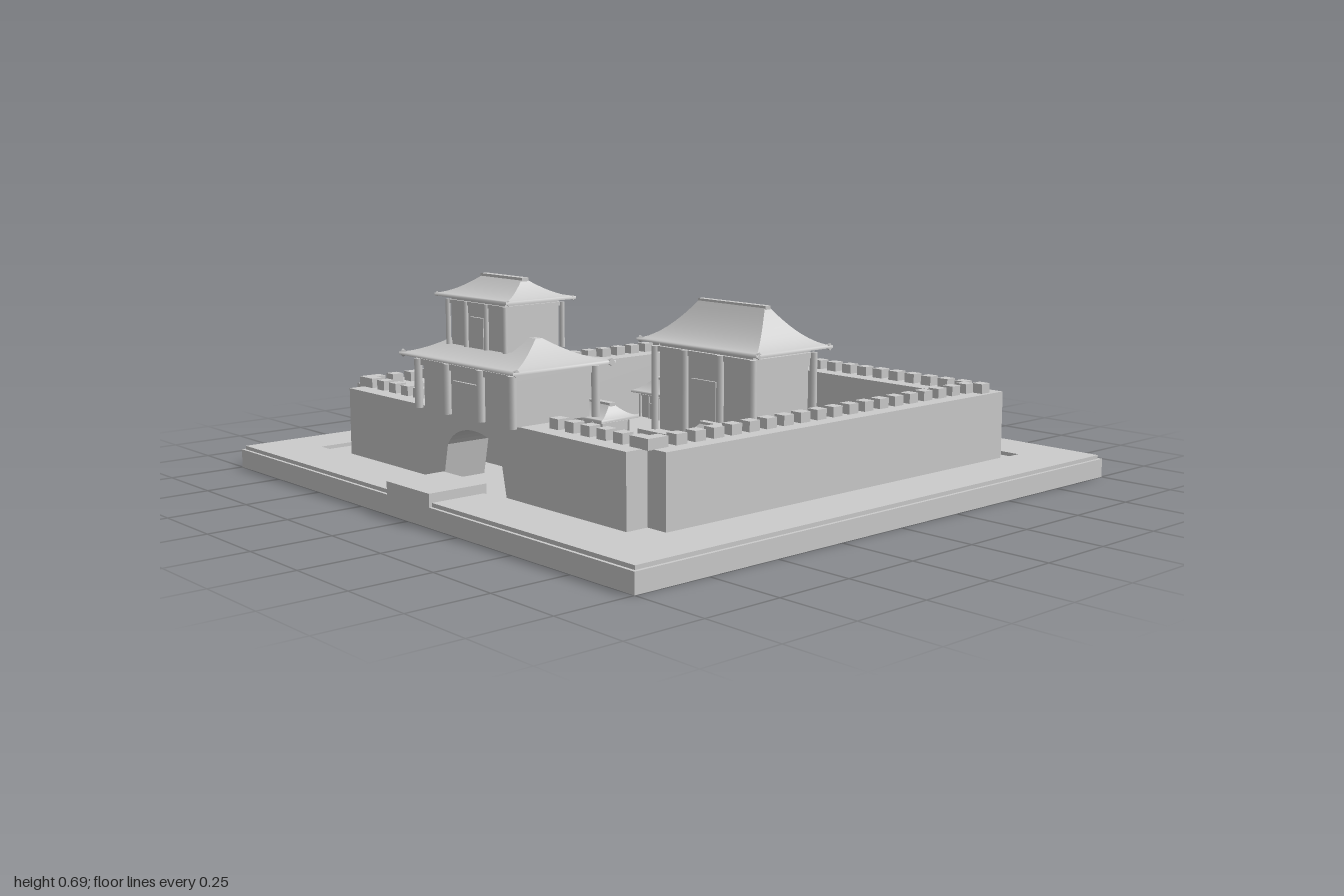
import * as THREE from 'three';

export function createModel() {
  const model = new THREE.Group();
  model.name = 'walledCourt';
  const stone = new THREE.MeshStandardMaterial({ color: 0xcccccc });
  stone.name = 'pale stone';

  function add(parent, name, geometry, x = 0, y = 0, z = 0) {
    const mesh = new THREE.Mesh(geometry, stone);
    mesh.name = name;
    mesh.position.set(x, y, z);
    parent.add(mesh);
    return mesh;
  }
  // Box given by its limits on each axis
  function block(parent, name, x0, x1, y0, y1, z0, z1) {
    return add(parent, name, new THREE.BoxGeometry(x1 - x0, y1 - y0, z1 - z0),
      (x0 + x1) / 2, (y0 + y1) / 2, (z0 + z1) / 2);
  }

  // Hipped roof with a concave slope, built as four curved sides over a flat soffit
  function roofGeometry(hw, hd, rise, ridge, ridgeDepth) {
    const steps = 10, positions = [], index = [];
    const rings = [[hw, 0, hd]];
    for (let i = 0; i <= steps; i++) {
      const t = i / steps;
      rings.push([hw + (ridge - hw) * t, 0.008 + (rise - 0.008) * Math.pow(t, 1.7), hd + (ridgeDepth - hd) * t]);
    }
    const corners = [[-1, 1], [1, 1], [1, -1], [-1, -1]];
    for (let s = 0; s < 4; s++) {
      const a = corners[s], b = corners[(s + 1) % 4];
      const start = positions.length / 3;
      for (const [x, y, z] of rings) positions.push(a[0] * x, y, a[1] * z, b[0] * x, y, b[1] * z);
      for (let i = 0; i < rings.length - 1; i++) {
        const k = start + i * 2;
        index.push(k, k + 1, k + 3, k, k + 3, k + 2);
      }
    }
    for (const [x, y, z] of [rings[0], rings[rings.length - 1]]) {
      const k = positions.length / 3;
      for (const c of corners) positions.push(c[0] * x, y, c[1] * z);
      if (y === 0) index.push(k, k + 2, k + 1, k, k + 3, k + 2);
      else index.push(k, k + 1, k + 2, k, k + 2, k + 3);
    }
    const g = new THREE.BufferGeometry();
    g.setAttribute('position', new THREE.Float32BufferAttribute(positions, 3));
    g.setIndex(index);
    g.computeVertexNormals();
    return g;
  }

  // Timber building: core, columns, beam, door, roof, ridge and flared corner tips
  function building(name, o) {
    const g = new THREE.Group();
    g.name = name;
    g.position.set(o.x, 0, o.z);
    model.add(g);
    const { hw, hd, base, top, eave, peak, roofW, roofD, ridge } = o;
    const r = hw * 0.05;
    block(g, 'walls', -hw + r * 2, hw - r * 2, base, eave + 0.005, -hd + r * 2, hd - r * 2);
    block(g, 'beam', -hw + r, hw - r, top - r * 1.5, top, -hd + r, hd - r);
    const column = new THREE.CylinderGeometry(r, r, top - base, 8);
    for (const s of [-1, 1]) {
      for (const f of [-1, -0.36, 0.36, 1])
        add(g, 'column', column, f * (hw - r), (base + top) / 2, s * (hd - r));
    }
    const doorTop = base + (top - base) * 0.68;
    block(g, 'door', -hw * 0.24, hw * 0.24, base, doorTop, hd - r * 2, hd - r * 2 + 0.008);
    add(g, 'roof', roofGeometry(roofW, roofD, peak - 0.008 - eave, ridge, 0.012), 0, eave, 0);
    if (o.ridgeCap !== false)
      block(g, 'ridgeCap', -ridge - 0.003, ridge + 0.003, peak - 0.022, peak, -0.012, 0.012);
    // Tips widen outwards along the eaves
    const tip = new THREE.ConeGeometry(roofW * 0.045, roofW * 0.13, 4);
    for (const sx of [-1, 1]) for (const sz of [-1, 1]) {
      const m = add(g, 'eaveTip', tip, sx * (roofW - roofW * 0.065), eave + 0.004, sz * (roofD - roofW * 0.05));
      m.rotation.z = sx * Math.PI / 2;
    }
    return g;
  }

  // Ground slab with a raised border around the shallow moat
  block(model, 'base', -1, 1, 0, 0.06, -1, 1);
  const border = new THREE.Shape();
  border.moveTo(-0.99, -0.99).lineTo(0.99, -0.99).lineTo(0.99, 0.99).lineTo(-0.99, 0.99).closePath();
  const moat = new THREE.Path();
  moat.moveTo(-0.81, -0.81).lineTo(-0.81, 0.81).lineTo(0.81, 0.81).lineTo(0.81, -0.81).closePath();
  border.holes.push(moat);
  const ground = add(model, 'ground', new THREE.ExtrudeGeometry(border, { depth: 0.012, bevelEnabled: false }), 0, 0.06, 0);
  ground.rotation.x = -Math.PI / 2;
  block(model, 'bridge', -0.11, 0.11, 0.06, 0.1, 0.8, 1);

  // Side and back ramparts
  for (const s of [-1, 1]) block(model, 'sideRampart', s * 0.695 - 0.075, s * 0.695 + 0.075, 0.06, 0.278, -0.77, 0.69);
  block(model, 'backRampart', -0.62, 0.62, 0.06, 0.278, -0.77, -0.625);

  // Front rampart with an arched passage
  const front = new THREE.Shape();
  front.moveTo(-0.695, 0.06).lineTo(-0.16, 0.06).lineTo(-0.135, 0.175);
  front.bezierCurveTo(-0.11, 0.215, -0.06, 0.235, 0, 0.235);
  front.bezierCurveTo(0.06, 0.235, 0.11, 0.215, 0.135, 0.175);
  front.lineTo(0.16, 0.06).lineTo(0.695, 0.06).lineTo(0.695, 0.278).lineTo(-0.695, 0.278).closePath();
  add(model, 'frontRampart', new THREE.ExtrudeGeometry(front, { depth: 0.15, bevelEnabled: false, curveSegments: 8 }), 0, 0, 0.615);

  // Battlements
  const merlon = new THREE.BoxGeometry(0.04, 0.032, 0.04);
  for (let i = 0; i < 22; i++) {
    const x = -0.735 + i * 0.07;
    add(model, 'merlon', merlon, x, 0.293, -0.7);
    if (Math.abs(x) > 0.25 && Math.abs(x) < 0.7) add(model, 'merlon', merlon, x, 0.293, 0.69);
  }
  for (let i = 0; i < 20; i++)
    for (const s of [-1, 1]) add(model, 'merlon', merlon, s * 0.7, 0.293, -0.663 + i * 0.0695);
  for (const s of [-1, 1]) add(model, 'merlon', merlon, s * 0.7, 0.293, 0.69);

  // Two-storey gate tower
  building('gateTowerLower', { x: 0, z: 0.645, hw: 0.25, hd: 0.165, base: 0.278, top: 0.43, eave: 0.44, peak: 0.525,
    roofW: 0.29, roofD: 0.187, ridge: 0.165, ridgeCap: false });
  building('gateTowerUpper', { x: 0, z: 0.645, hw: 0.15, hd: 0.112, base: 0.48, top: 0.615, eave: 0.625, peak: 0.69,
    roofW: 0.18, roofD: 0.127, ridge: 0.1 });

  // Main hall on its terrace
  block(model, 'terrace', -0.28, 0.28, 0.06, 0.09, -0.48, -0.12);
  building('mainHall', { x: 0, z: -0.305, hw: 0.25, hd: 0.155, base: 0.09, top: 0.38, eave: 0.397, peak: 0.54,
    roofW: 0.29, roofD: 0.18, ridge: 0.16 });

  // Small pavilions
  for (const [x, z] of [[-0.495, -0.443], [-0.28, 0.043], [0.275, 0.043], [-0.275, 0.36], [0.267, 0.36]])
    building('pavilion', { x, z, hw: 0.08, hd: 0.062, base: 0.06, top: 0.145, eave: 0.152, peak: 0.207,
      roofW: 0.1, roofD: 0.082, ridge: 0.055 });

  // Courtyard dividing walls with a central gap
  for (const s of [-1, 1]) {
    block(model, 'courtWall', Math.min(s * 0.025, s * 0.565), Math.max(s * 0.025, s * 0.565), 0.06, 0.16, 0.21, 0.25);
    block(model, 'courtWall', Math.min(s * 0.16, s * 0.565), Math.max(s * 0.16, s * 0.565), 0.06, 0.16, 0.475, 0.515);
  }
  return model;
}
